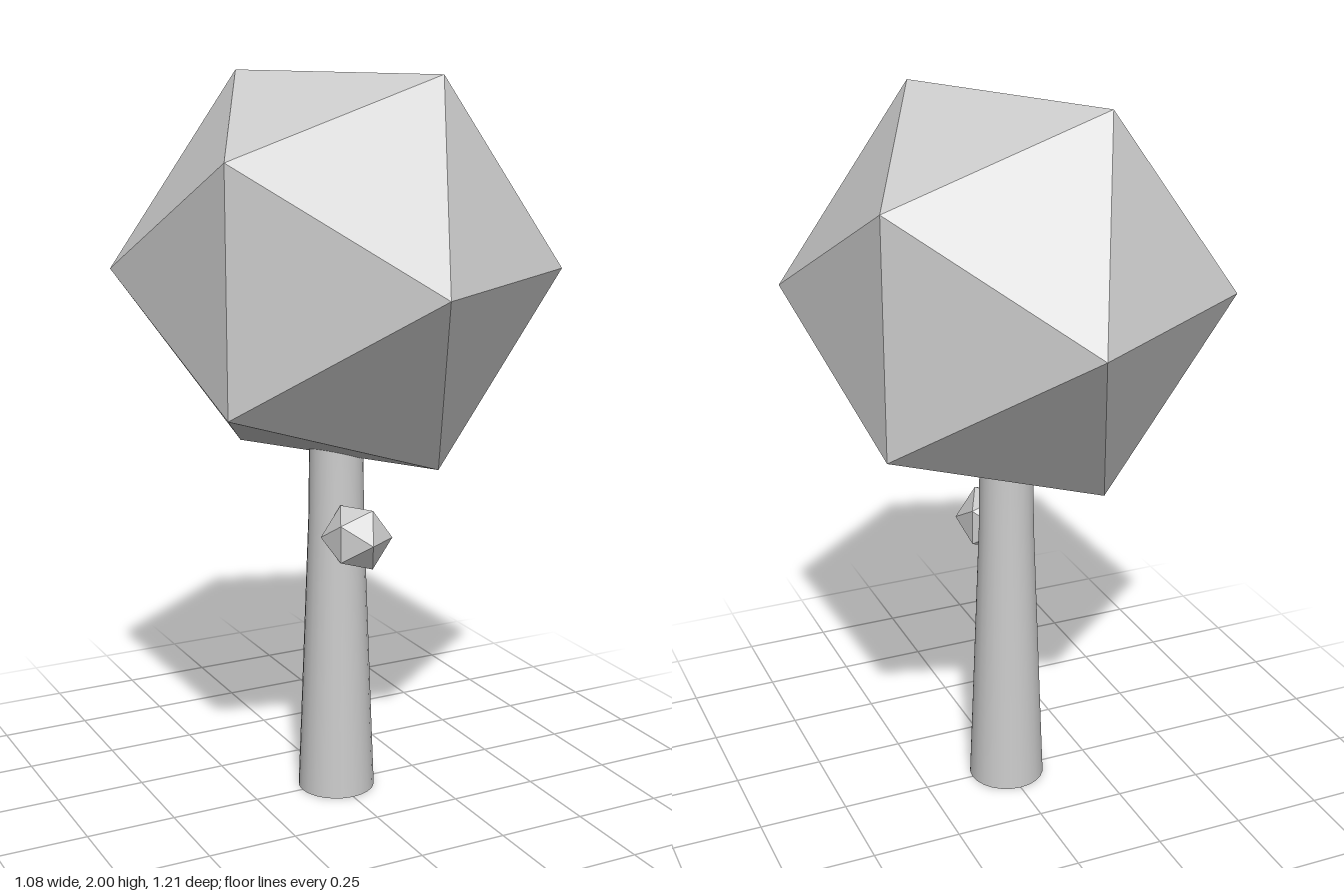
import * as THREE from 'three';

const smooth = new THREE.MeshStandardMaterial({ color: 0xcccccc });
const faceted = new THREE.MeshStandardMaterial({ color: 0xcccccc, flatShading: true });

// Icosahedron turned so that one vertex points straight to +z and one ring vertex to +x
function icosahedron(name, radius, y, z) {
  const geometry = new THREE.IcosahedronGeometry(radius, 0);
  geometry.rotateX(Math.atan(2 / (1 + Math.sqrt(5))));
  geometry.rotateZ(Math.PI / 2);
  const mesh = new THREE.Mesh(geometry, faceted);
  mesh.name = name;
  mesh.position.set(0, y, z);
  return mesh;
}

export function createModel() {
  const tree = new THREE.Group();
  tree.name = 'tree';

  // Tapered trunk, running a little way into the crown
  const profile = [[0.108, 0], [0.1, 0.2], [0.077, 0.8], [0.073, 1.1]]
    .map(([r, y]) => new THREE.Vector2(r, y));
  const trunk = new THREE.Mesh(new THREE.LatheGeometry(profile, 24), smooth);
  trunk.name = 'trunk';
  tree.add(trunk);

  // Flat underside of the trunk
  const base = new THREE.Mesh(new THREE.CircleGeometry(0.108, 24).rotateX(Math.PI / 2), smooth);
  base.name = 'trunkBase';
  tree.add(base);

  // Large faceted crown and the small bud on the front of the trunk
  tree.add(icosahedron('crown', 0.603, 1.487, 0));
  tree.add(icosahedron('bud', 0.097, 0.77, 0.122));

  return tree;
}
